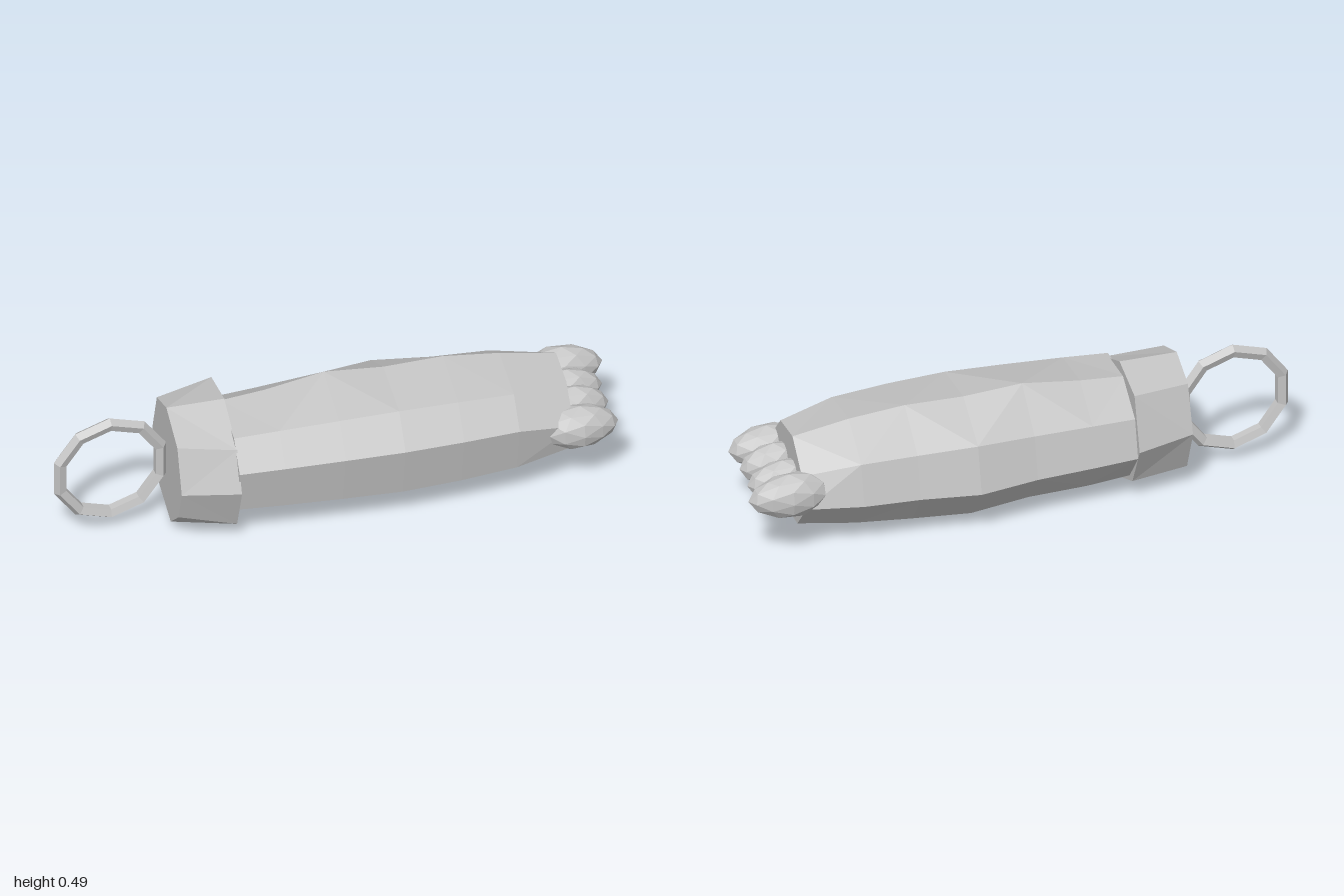
import * as THREE from 'three';

const MID_Y = 0.26;

// Faceted tube along x: each section is { x, pts: [[z, y], ...] }, ordered top -> +z -> bottom -> -z.
function loft(sections) {
  const pos = [];
  const n = sections[0].pts.length;
  const at = (s, i) => [sections[s].x, sections[s].pts[i % n][1], sections[s].pts[i % n][0]];
  const tri = (...corners) => corners.forEach((c) => pos.push(...c));
  const last = sections.length - 1;
  for (let s = 0; s < last; s++) {
    for (let i = 0; i < n; i++) {
      const a = at(s, i), b = at(s, i + 1), c = at(s + 1, i), d = at(s + 1, i + 1);
      if ((s + i) % 2) {
        tri(a, b, c);
        tri(b, d, c);
      } else {
        tri(a, b, d);
        tri(a, d, c);
      }
    }
  }
  // Flat end caps
  for (let i = 0; i < n; i++) {
    tri([sections[0].x, MID_Y, 0], at(0, i + 1), at(0, i));
    tri([sections[last].x, MID_Y, 0], at(last, i), at(last, i + 1));
  }
  const geo = new THREE.BufferGeometry();
  geo.setAttribute('position', new THREE.Float32BufferAttribute(pos, 3));
  geo.computeVertexNormals();
  return geo;
}

function flat(geo) {
  const g = geo.index ? geo.toNonIndexed() : geo;
  g.computeVertexNormals();
  return g;
}

export function createModel() {
  const group = new THREE.Group();
  const grey = new THREE.MeshStandardMaterial({ color: 0xc4c4c4 });
  grey.name = 'plain grey';
  const add = (name, geo) => {
    const mesh = new THREE.Mesh(geo, grey);
    mesh.name = name;
    group.add(mesh);
    return mesh;
  };

  // Limb: an irregular octagon that swells in the middle
  const outline = [
    [-0.05, 0.49], [0.175, 0.445], [0.265, 0.33], [0.225, 0.13],
    [0.06, 0.037], [-0.14, 0.057], [-0.263, 0.205], [-0.22, 0.375],
  ];
  const xs = [-0.39, -0.23, -0.02, 0.19, 0.4, 0.6];
  const swell = {
    top: [0.8, 0.86, 1, 0.93, 0.95, 0.86],
    front: [0.87, 0.91, 0.95, 0.98, 0.95, 0.89],
    bottom: [0.84, 0.89, 0.91, 1, 0.94, 0.87],
    back: [0.82, 0.86, 0.9, 1, 0.91, 0.87],
  };
  const sides = ['top', 'front', 'front', 'front', 'bottom', 'bottom', 'back', 'back'];
  const sections = xs.map((x, s) => ({
    x,
    pts: outline.map(([z, y], i) => {
      const k = swell[sides[i]][s];
      return [z * k, MID_Y + (y - MID_Y) * k];
    }),
  }));
  sections.push({
    x: 0.8,
    pts: [
      [-0.04, 0.422], [0.1, 0.402], [0.205, 0.285], [0.175, 0.175],
      [0.04, 0.093], [-0.097, 0.103], [-0.2, 0.22], [-0.15, 0.325],
    ],
  });
  add('limb', loft(sections));

  // Cuff: flares towards the limb, with an uneven rim
  add('cuff', loft([
    {
      x: -0.59,
      pts: [
        [0, 0.48], [0.15, 0.415], [0.21, 0.255], [0.165, 0.13],
        [0.06, 0.035], [-0.12, 0.09], [-0.19, 0.26], [-0.13, 0.43],
      ],
    },
    {
      x: -0.385,
      pts: [
        [0, 0.48], [0.18, 0.39], [0.242, 0.245], [0.175, 0.07],
        [0.025, 0], [-0.15, 0.085], [-0.235, 0.25], [-0.175, 0.445],
      ],
    },
  ]));

  // Hanging ring
  const ring = add('ring', flat(new THREE.TorusGeometry(0.188, 0.024, 5, 10)));
  ring.position.set(-0.79, MID_Y, 0);
  ring.rotation.set(0, 0.05, Math.PI / 10);

  // Toes: faceted pebbles narrowing to a point
  const toes = [
    // centre x, y, z, half length, half height, half width
    [0.83, 0.26, 0.173, 0.135, 0.083, 0.074],
    [0.84, 0.258, 0.058, 0.12, 0.084, 0.06],
    [0.84, 0.256, -0.048, 0.125, 0.081, 0.06],
    [0.85, 0.265, -0.16, 0.145, 0.085, 0.07],
  ];
  toes.forEach(([x, y, z, l, h, w], i) => {
    const geo = new THREE.IcosahedronGeometry(1, 1);
    const p = geo.attributes.position;
    for (let v = 0; v < p.count; v++) {
      const taper = 1 - 0.2 * Math.max(0, p.getX(v));
      p.setXYZ(v, p.getX(v) * l, p.getY(v) * h * taper, p.getZ(v) * w * taper);
    }
    add('toe' + (i + 1), flat(geo)).position.set(x, y, z);
  });

  return group;
}
